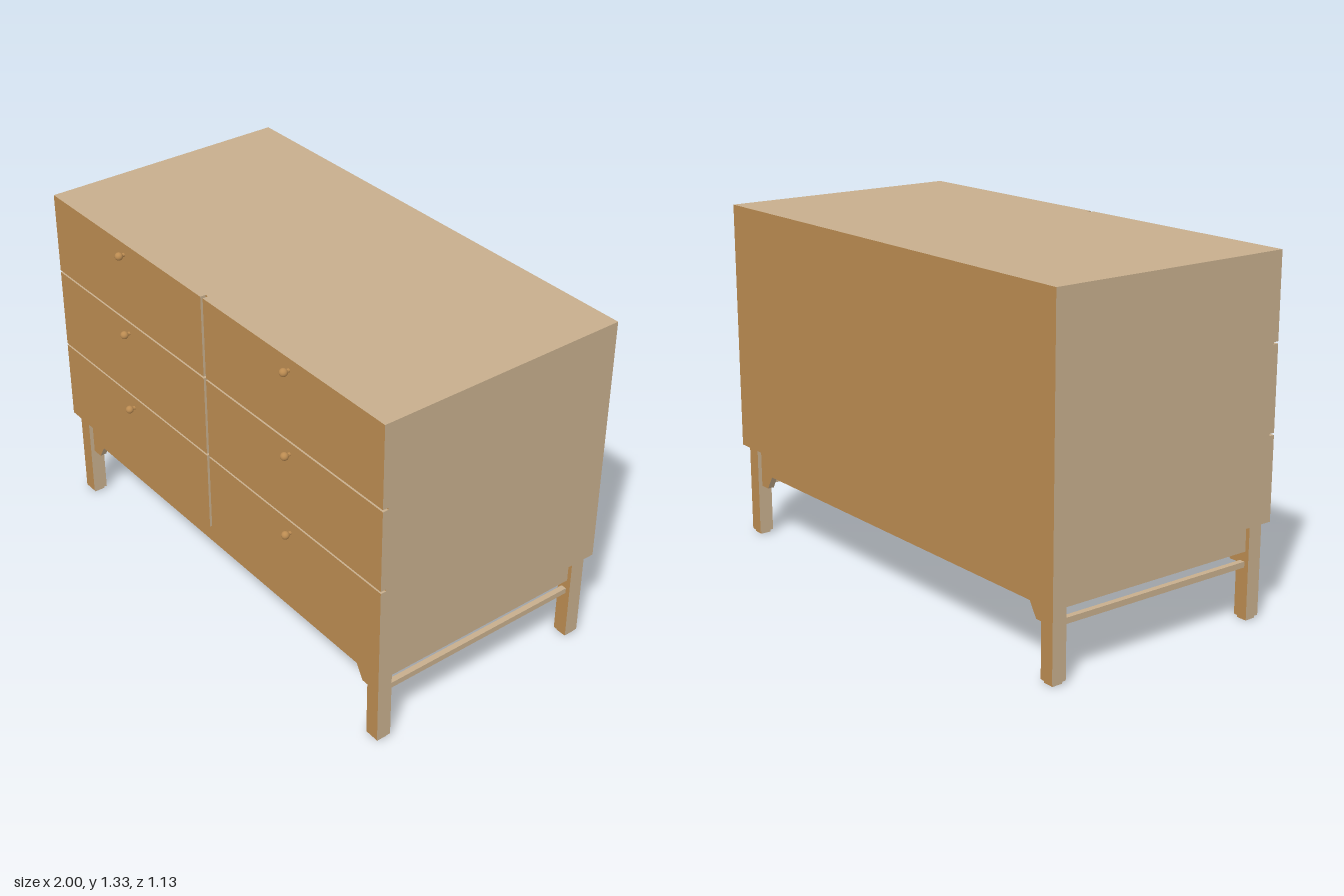
import * as THREE from 'three';

export function createModel() {
  const model = new THREE.Group();
  model.name = 'dresser';

  const brown = new THREE.MeshStandardMaterial({ color: 0xbb8b51 });
  brown.name = 'warm brown wood';
  const tan = new THREE.MeshStandardMaterial({ color: 0xc7ae8d });
  tan.name = 'pale tan wood';

  // Front and back faces are brown; ends, tops and undersides are tan
  const boxMaterials = [tan, tan, tan, tan, brown, brown];

  function add(name, geometry, material, x, y, z) {
    const mesh = new THREE.Mesh(geometry, material);
    mesh.name = name;
    mesh.position.set(x, y, z);
    model.add(mesh);
    return mesh;
  }
  const box = (name, w, h, d, x, y, z) =>
    add(name, new THREE.BoxGeometry(w, h, d), boxMaterials, x, y, z);

  const W = 1.933, D = 0.99, BASE = 0.365, TOP = 1.333;
  const FRONT = D / 2, FACE = 0.022;

  // Cabinet body
  box('cabinet', W, TOP - BASE, D - FACE, 0, (TOP + BASE) / 2, -FACE / 2);

  // Six drawer fronts with narrow gaps and round knobs
  const gapX = 0.014, gapY = 0.008;
  const drawerW = (W - gapX) / 2;
  const drawerH = (TOP - BASE - 2 * gapY) / 3;
  const knobStem = new THREE.CylinderGeometry(0.007, 0.007, 0.02, 12).rotateX(Math.PI / 2);
  const knobBall = new THREE.SphereGeometry(0.015, 16, 12);
  for (const side of [-1, 1]) {
    for (let row = 0; row < 3; row++) {
      const top = TOP - row * (drawerH + gapY);
      const x = side * (drawerW + gapX) / 2;
      box('drawerFront', drawerW, drawerH, FACE, x, top - drawerH / 2, FRONT - FACE / 2);
      add('knobStem', knobStem, brown, x, top - 0.045, FRONT + 0.008);
      add('knob', knobBall, brown, x, top - 0.045, FRONT + 0.022);
    }
  }

  // Legs with small foot pads
  const legX = 0.915, legZ = 0.447, legW = 0.058, padH = 0.012;
  for (const sx of [-1, 1]) {
    for (const sz of [-1, 1]) {
      box('leg', legW, BASE - padH, legW, sx * legX, (BASE + padH) / 2, sz * legZ);
      box('footPad', 0.042, padH, 0.042, sx * legX, padH / 2, sz * legZ);
    }
  }

  // Front and back aprons with angled brackets beside the legs
  const inner = legX - legW / 2, apronLow = 0.26, bracketLow = 0.205, thick = 0.026;
  const half = [
    [inner, BASE], [inner, bracketLow], [inner - 0.045, bracketLow], [inner - 0.078, apronLow],
  ];
  const outline = [...half.map(([x, y]) => [-x, y]), ...half.reverse()];
  const apronShape = new THREE.Shape(outline.map(([x, y]) => new THREE.Vector2(x, y)));
  const apron = new THREE.ExtrudeGeometry(apronShape, { depth: thick, bevelEnabled: false })
    .translate(0, 0, -thick / 2);
  add('frontApron', apron, [brown, tan], 0, 0, legZ);
  add('backApron', apron, [brown, tan], 0, 0, -legZ);

  // Side aprons and slim side stretchers
  const span = 2 * legZ - legW;
  for (const s of [-1, 1]) {
    box('sideApron', thick, BASE - apronLow, span, s * legX, (BASE + apronLow) / 2, 0);
    box('sideStretcher', 0.022, 0.022, span, s * legX, 0.211, 0);
  }

  // The whole piece stands slightly turned
  model.rotation.y = -0.0725;
  model.position.z = -0.002;
  const root = new THREE.Group();
  root.name = 'dresserRoot';
  root.add(model);
  return root;
}
